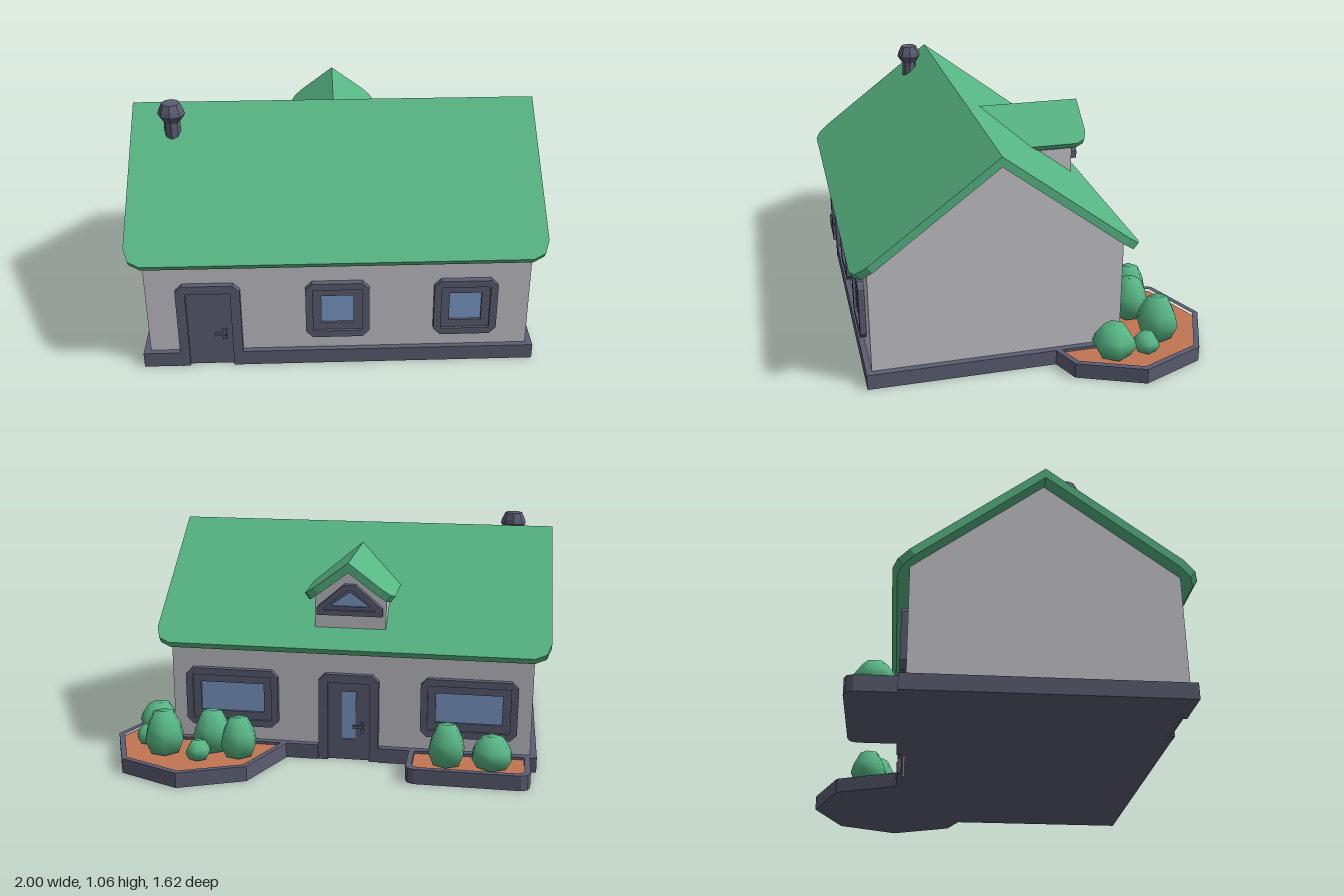
import * as THREE from 'three';

const mat = (name, hex) => {
  const m = new THREE.MeshStandardMaterial({ color: hex });
  m.name = name;
  return m;
};

export function createModel() {
  const root = new THREE.Group();
  root.name = 'cottage';
  const green = mat('green', 0x57b584), wallGrey = mat('wall grey', 0xc4c4ca);
  const slate = mat('slate', 0x5b5d72), earth = mat('earth', 0xc27552), blue = mat('glass blue', 0x7d9dcc);

  const add = (parent, name, geo, material, x = 0, y = 0, z = 0) => {
    const m = new THREE.Mesh(geo, material);
    m.name = name;
    m.position.set(x, y, z);
    parent.add(m);
    return m;
  };
  const poly = (pts, hole) => {
    const s = new THREE.Shape(pts.map(p => new THREE.Vector2(...p)));
    if (hole) s.holes.push(new THREE.Path(hole.map(p => new THREE.Vector2(...p))));
    return s;
  };
  const slab = (shape, depth) => new THREE.ExtrudeGeometry(shape, { depth, bevelEnabled: false });
  // extrudes an (x, z) outline upwards
  const plan = (pts, h, hole) => {
    const flip = a => a && a.map(([x, z]) => [x, -z]);
    return slab(poly(flip(pts), flip(hole)), h).rotateX(-Math.PI / 2);
  };
  const rect = (x0, y0, x1, y1) => [[x0, y0], [x1, y0], [x1, y1], [x0, y1]];
  // rectangle with cut corners
  const cut = (x0, y0, x1, y1, c, bottom = c) => [[x0 + bottom, y0], [x1 - bottom, y0], [x1, y0 + bottom],
    [x1, y1 - c], [x1 - c, y1], [x0 + c, y1], [x0, y1 - c], [x0, y0 + bottom]];

  // Plinth, notched at both doors
  const MID = -0.105, RIDGE_Z = 0.185;
  add(root, 'plinth', plan([[-0.96, 0.765], [-0.8, 0.765], [-0.8, 0.735], [-0.525, 0.735], [-0.525, 0.765],
    [0.755, 0.765], [0.755, -0.4], [0.035, -0.4], [0.035, -0.365], [-0.245, -0.365], [-0.245, -0.4],
    [-0.96, -0.4]], 0.07), slate);

  // Walls with gables
  const gable = (half, y0, eave, peak, length) =>
    slab(poly([[-half, y0], [half, y0], [half, eave], [0, peak], [-half, eave]]), length);
  add(root, 'walls', gable(0.555, 0.002, 0.557, 0.976, 1.655).rotateY(Math.PI / 2), wallGrey, -0.93, 0, RIDGE_Z);

  // Roof slopes: u runs along the ridge, w is the slope length
  const PITCH = 0.647, THICK = 0.035;
  const slope = (u0, u1, w, c, left, right) => {
    const pts = [[u1, 0], [u0, 0]];
    if (left) pts.push([u0, c - w], [u0 + c * 0.25, c * 0.3 - w], [u0 + c * 0.85, -w]);
    else pts.push([u0, -w]);
    if (right) pts.push([u1 - c * 0.85, -w], [u1 - c * 0.25, c * 0.3 - w], [u1, c - w]);
    else pts.push([u1, -w]);
    return slab(poly(pts), THICK).translate(0, 0, -THICK).rotateX(PITCH - Math.PI / 2);
  };
  for (const side of [0, 1]) {
    const m = add(root, side ? 'backRoof' : 'frontRoof', slope(-0.895, 0.895, 0.783, 0.085, true, true),
      green, MID, 1.017, RIDGE_Z);
    m.rotation.y = side * Math.PI;
  }

  // Dormer on the back slope
  const dormer = new THREE.Group();
  dormer.name = 'dormer';
  dormer.position.x = MID;
  root.add(dormer);
  add(dormer, 'dormerWalls', gable(0.162, 0.55, 0.772, 0.893, 0.36), wallGrey, 0, 0, -0.34);
  const leftSlope = add(dormer, 'dormerRoofLeft', slope(-0.08, 0.41, 0.257, 0.065, false, true), green, 0, 0.935, 0);
  leftSlope.rotation.y = Math.PI / 2;
  const rightSlope = add(dormer, 'dormerRoofRight', slope(-0.41, 0.08, 0.257, 0.065, true, false), green, 0, 0.935, 0);
  rightSlope.rotation.y = -Math.PI / 2;
  const tri = (b, y0, y1, top, peak) => [[-b, y0], [b, y0], [b, y1], [top, peak], [-top, peak], [-b, y1]];
  const dormerWindow = new THREE.Group();
  dormerWindow.name = 'dormerWindow';
  dormerWindow.position.z = -0.34;
  dormerWindow.rotation.y = Math.PI;
  dormer.add(dormerWindow);
  const outerHole = tri(0.115, 0.708, 0.716, 0.01, 0.802);
  const innerHole = tri(0.085, 0.724, 0.728, 0.004, 0.788);
  add(dormerWindow, 'outerFrame', slab(poly(tri(0.148, 0.685, 0.72, 0.025, 0.826), outerHole), 0.03), slate);
  add(dormerWindow, 'innerFrame', slab(poly(outerHole, innerHole), 0.015), slate);
  add(dormerWindow, 'glass', slab(poly(innerHole), 0.004), blue);

  // A group on the front or back wall, built facing outwards
  const onWall = (name, x, back) => {
    const g = new THREE.Group();
    g.name = name;
    g.position.set(x, 0, back ? -0.37 : 0.74);
    g.rotation.y = back ? Math.PI : 0;
    root.add(g);
    return g;
  };

  // Windows
  const addWindow = (name, x, half, back) => {
    const g = onWall(name, x, back);
    const hole = rect(-half + 0.032, 0.172, half - 0.032, 0.383);
    const pane = rect(-half + 0.068, 0.208, half - 0.068, 0.347);
    add(g, 'outerFrame', slab(poly(cut(-half, 0.14, half, 0.415, 0.03), hole), 0.027), slate);
    add(g, 'innerFrame', slab(poly(hole, pane), 0.015), slate);
    add(g, 'glass', slab(poly(pane), 0.004), blue);
  };
  addWindow('frontWindowRight', -0.108, 0.1375, false);
  addWindow('frontWindowLeft', 0.447, 0.1375, false);
  addWindow('backWindowLeft', MID + 0.545, 0.217, true);
  addWindow('backWindowRight', MID - 0.545, 0.217, true);

  // Doors
  const addDoor = (name, x, back) => {
    const g = onWall(name, x, back);
    add(g, 'doorFrame', slab(poly([[-0.138, 0], [-0.096, 0], [-0.096, 0.375], [0.096, 0.375], [0.096, 0],
      [0.138, 0], [0.138, 0.385], [0.108, 0.415], [-0.108, 0.415], [-0.138, 0.385]]), 0.026), slate);
    const pane = rect(-0.032, 0.1, 0.032, 0.33);
    add(g, 'doorPanel', slab(poly(rect(-0.096, 0, 0.096, 0.375), back ? pane : null), 0.01), slate);
    if (back) add(g, 'doorGlass', slab(poly(pane), 0.004), blue);
    add(g, 'handlePlate', new THREE.BoxGeometry(0.018, 0.052, 0.008), slate, 0.062, 0.16, 0.013);
    add(g, 'handleLever', new THREE.BoxGeometry(0.05, 0.014, 0.01), slate, 0.045, 0.167, 0.026);
    add(g, 'handleStem', new THREE.BoxGeometry(0.012, 0.012, 0.02), slate, 0.062, 0.167, 0.018);
  };
  addDoor('frontDoor', -0.662, false);
  addDoor('backDoor', MID, true);

  // Chimney, faceted
  const flue = new THREE.LatheGeometry([[0.036, 0.84], [0.036, 0.975], [0.06, 1.01], [0.055, 1.03], [0.04, 1.062],
    [0, 1.062]].map(p => new THREE.Vector2(...p)), 8).toNonIndexed();
  flue.computeVertexNormals();
  add(root, 'chimney', flue, slate, -0.817, 0, 0.3);

  // Planters: rim and soil
  const octagon = r => Array.from({ length: 8 }, (_, i) =>
    [0.59 + r * Math.cos(i * Math.PI / 4), -0.405 + r * Math.sin(i * Math.PI / 4)]);
  const box = d => {
    const c = 0.04 - d * 0.4;
    return [[-0.93 + d, -0.38], [-0.93 + d, -0.608 + d + c], [-0.93 + d + c * 0.3, -0.608 + d + c * 0.3],
      [-0.93 + d + c, -0.608 + d], [-0.385 - d - c, -0.608 + d], [-0.385 - d - c * 0.3, -0.608 + d + c * 0.3],
      [-0.385 - d, -0.608 + d + c], [-0.385 - d, -0.38]];
  };
  // the box rim stays closed against the plinth
  const boxHole = box(0.026).map(([x, z]) => [x, Math.min(z, -0.39)]);
  add(root, 'largePlanterRim', plan(octagon(0.405), 0.07, octagon(0.378)), slate);
  add(root, 'largePlanterSoil', plan(octagon(0.38), 0.055), earth);
  add(root, 'largePlanterBottom', plan(octagon(0.404), 0.004), slate);
  add(root, 'smallPlanterRim', plan(box(0), 0.07, boxHole), slate);
  add(root, 'smallPlanterSoil', plan(boxHole, 0.055), earth);
  add(root, 'smallPlanterBottom', plan(box(0.001), 0.004), slate);
  // slate underside just below the soil
  for (const name of ['largePlanterSoil', 'smallPlanterSoil']) root.getObjectByName(name).position.y = 0.002;

  // Bushes: x, z, radius, height, turn
  const bushes = [[0.375, -0.54, 0.09, 0.17, 0.2], [0.51, -0.495, 0.09, 0.18, 0], [0.545, -0.61, 0.06, 0.08, 0.1],
    [0.72, -0.55, 0.098, 0.185, 0.3], [0.825, -0.46, 0.062, 0.08, 0.4], [0.82, -0.312, 0.1, 0.135, 0.5],
    [-0.76, -0.495, 0.1, 0.13, 0], [-0.56, -0.495, 0.09, 0.175, 0]];
  for (const [x, z, r, h, turn] of bushes) {
    const profile = [[0, 0], [0.72, 0], [1, 0.36], [0.88, 0.62], [0.52, 1], [0, 1.01]];
    const geo = new THREE.LatheGeometry(profile.map(([a, b]) => new THREE.Vector2(a * r, b * h)), 6);
    add(root, 'bush', geo, green, x, 0.062, z).rotation.y = turn;
  }
  return root;
}
